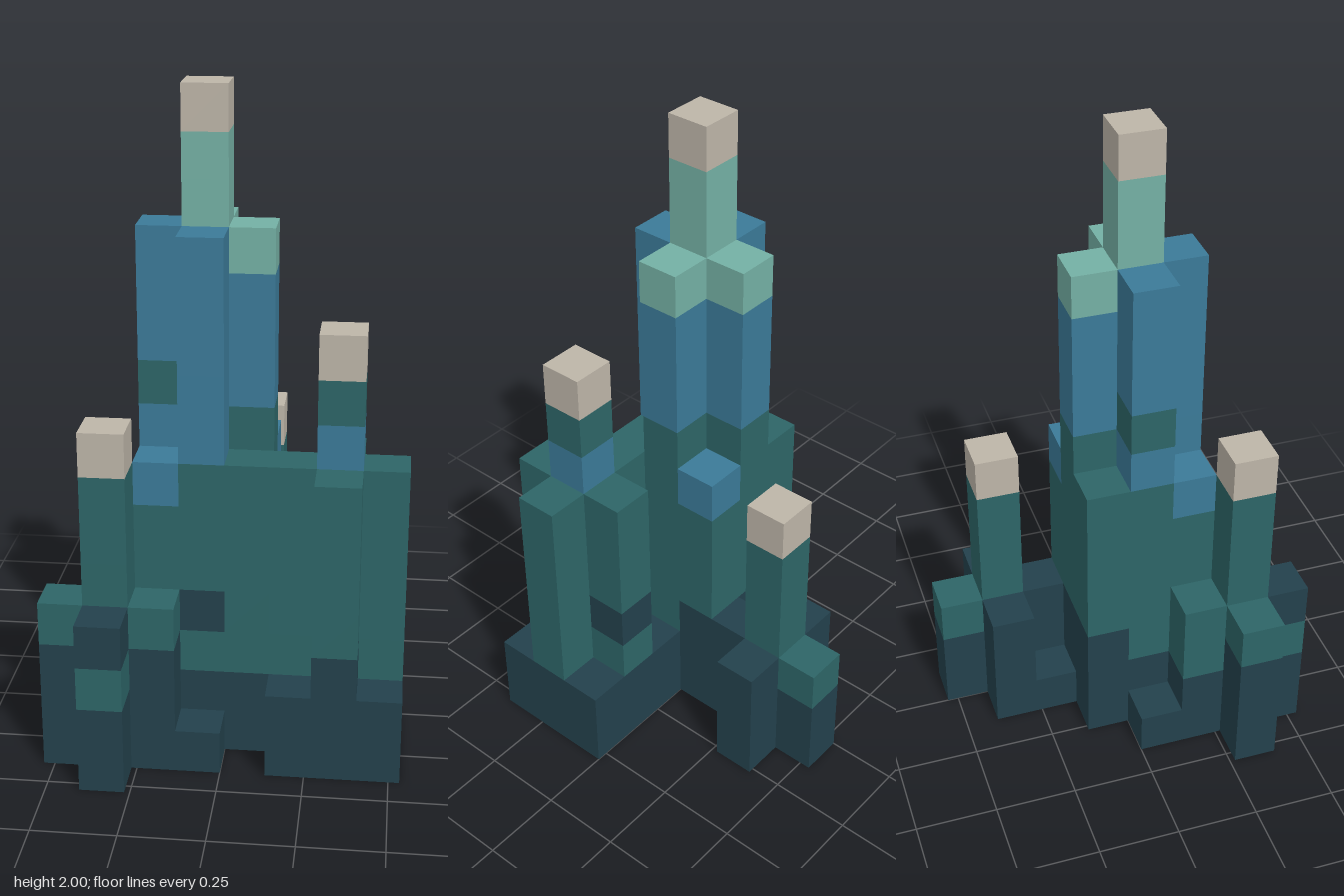
import * as THREE from 'three';
import { mergeGeometries } from 'three/addons/utils/BufferGeometryUtils.js';

const CELL = 2 / 15;

const makeMaterial = (name, color) => {
  const m = new THREE.MeshStandardMaterial({ color });
  m.name = name;
  return m;
};

// Columns per part: [x cell, z cell, colour of each cube from the ground up]
const PARTS = {
  centralSpire: [
    [3, 4, 'NNTTTTTBBBBBMMS'],
    [3, 3, 'NNNTTTTTBBBM'],
    [4, 4, 'NNTTTTTTBBBM'],
    [2, 4, 'NNTTTTTBTBBB'],
    [3, 5, 'NNTNTTTBBBBB'],
  ],
  spireShoulders: [
    [2, 5, 'NNTTTTB'],
    [4, 3, 'NNNTTTB'],
    [2, 3, 'NNNTTTT'],
    [4, 5, 'NNTTTTT'],
  ],
  leftTower: [
    [6, 5, 'NNTTTTTBTS'],
    [5, 5, 'NNTTTTT'],
    [7, 5, 'NNTTTTT'],
    [6, 4, 'NNTNTTT'],
    [6, 6, 'NNNTTTT'],
  ],
  leftPlinth: [
    [5, 4, 'NN'], [7, 4, 'NN'], [5, 6, 'NN'], [7, 6, 'NN'],
  ],
  rightTower: [
    [1, 6, 'NNNTTTTS'],
    [0, 6, 'NNNT'],
    [2, 6, 'NNNT'],
    [1, 5, 'NNTT'],
    [1, 7, 'NNTN'],
  ],
  backTower: [
    [4, 1, 'NNNTTTS'],
    [4, 0, 'NNT'],
    [3, 1, 'NNN'],
    [5, 1, 'NNN'],
    [4, 2, 'NNN'],
  ],
  lowSteps: [
    [3, 6, 'N'], [1, 4, 'N'], [3, 2, 'N'],
  ],
};

// Outward directions of the six cube faces
const DIRECTIONS = [
  [1, 0, 0], [-1, 0, 0], [0, 1, 0], [0, -1, 0], [0, 0, 1], [0, 0, -1],
];

// One square face of the cube in cell (x, y, z)
function cubeFace(x, y, z, dir) {
  const normal = new THREE.Vector3(...dir);
  const turn = new THREE.Quaternion().setFromUnitVectors(new THREE.Vector3(0, 0, 1), normal);
  const centre = new THREE.Vector3(x - 3.5, y + 0.5, z - 3.5).multiplyScalar(CELL);
  return new THREE.PlaneGeometry(CELL, CELL)
    .applyQuaternion(turn)
    .translate(...centre.addScaledVector(normal, CELL / 2).toArray());
}

export function createModel() {
  const materials = {
    N: makeMaterial('navy', 0x23414c),
    T: makeMaterial('teal', 0x2d6567),
    B: makeMaterial('blue', 0x3b7a98),
    M: makeMaterial('mint', 0x74b0a4),
    S: makeMaterial('sand', 0xbdb5a8),
  };

  // Height of every column, to leave out faces buried between cubes
  const heights = {};
  for (const columns of Object.values(PARTS))
    for (const [x, z, cubes] of columns) heights[`${x},${z}`] = cubes.length;
  const filled = (x, y, z) => y >= 0 && y < (heights[`${x},${z}`] ?? 0);

  const model = new THREE.Group();
  model.name = 'steppedTowers';
  for (const [partName, columns] of Object.entries(PARTS)) {
    const faces = {};
    for (const [x, z, cubes] of columns) {
      [...cubes].forEach((key, y) => {
        for (const dir of DIRECTIONS) {
          if (filled(x + dir[0], y + dir[1], z + dir[2])) continue;
          (faces[key] ??= []).push(cubeFace(x, y, z, dir));
        }
      });
    }
    // One mesh for each colour in the part
    const part = new THREE.Group();
    part.name = partName;
    for (const [key, list] of Object.entries(faces)) {
      const mesh = new THREE.Mesh(mergeGeometries(list), materials[key]);
      mesh.name = `${partName} ${materials[key].name} blocks`;
      part.add(mesh);
    }
    model.add(part);
  }
  return model;
}
